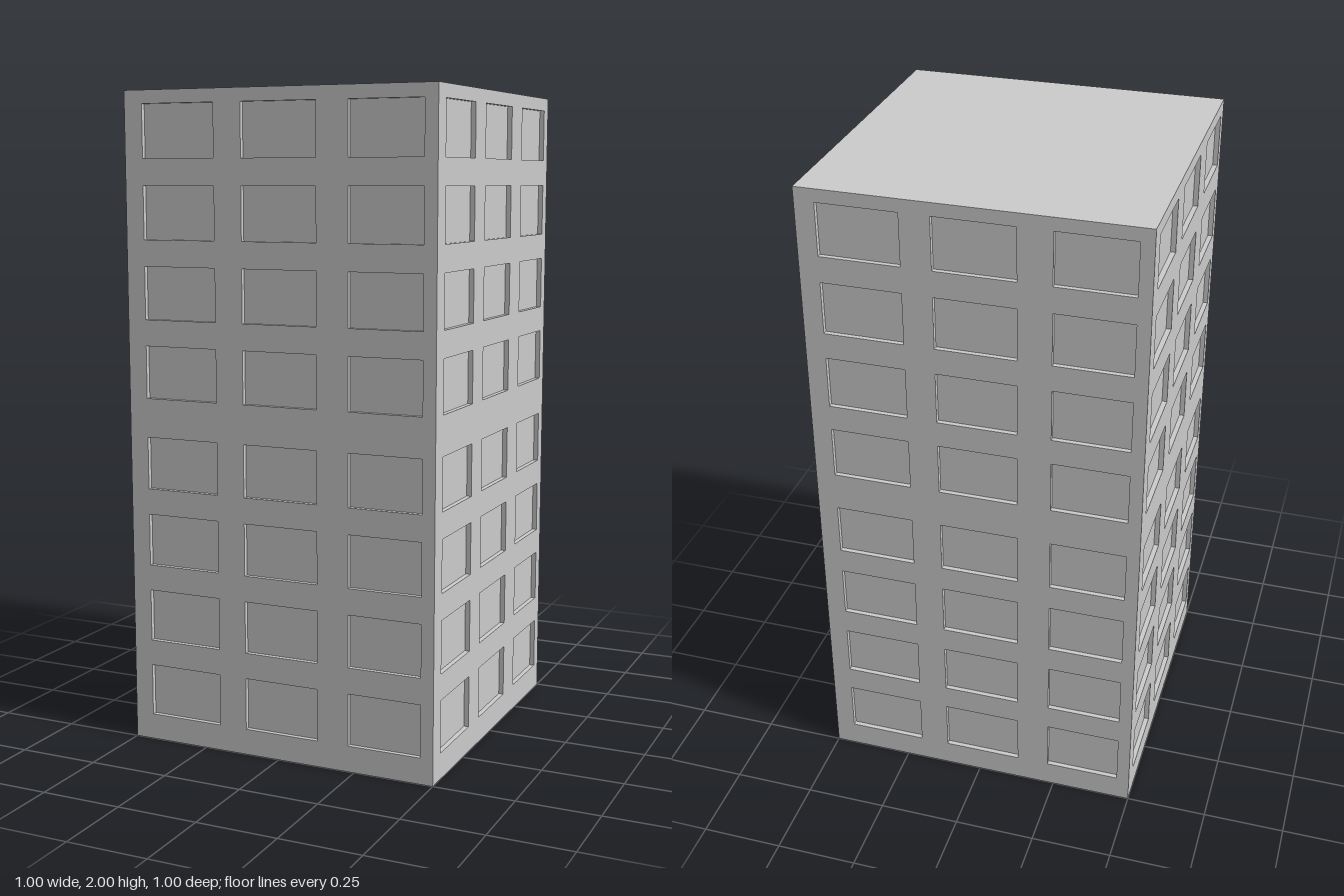
import * as THREE from 'three';

const HALF = 0.5, HEIGHT = 2, DEPTH = 0.015, WIN_H = 0.16;
const columns = [[-0.44, -0.2], [-0.11, 0.13], [0.23, 0.46]];
const sills = [0.08, 0.32, 0.56, 0.8, 1.08, 1.32, 1.56, 1.8];

function rectangle(PathType, x0, y0, x1, y1) {
  return new PathType([[x0, y0], [x1, y0], [x1, y1], [x0, y1]].map(p => new THREE.Vector2(...p)));
}

// Shallow tray: a box without its front (+z) face
function recessGeometry(width) {
  const g = new THREE.BoxGeometry(width, WIN_H, DEPTH);
  const index = Array.from(g.index.array);
  index.splice(24, 6);
  g.setIndex(index);
  g.clearGroups();
  return g;
}

export function createModel() {
  const tower = new THREE.Group();
  tower.name = 'towerBlock';
  const material = new THREE.MeshStandardMaterial({ color: 0xcccccc, side: THREE.DoubleSide });

  // Thin wall pierced by the window openings
  const wallShape = rectangle(THREE.Shape, -HALF, 0, HALF, HEIGHT);
  for (const [x0, x1] of columns)
    for (const y of sills) wallShape.holes.push(rectangle(THREE.Path, x0, y, x1, y + WIN_H));
  const wallGeometry = new THREE.ShapeGeometry(wallShape);
  const recesses = columns.map(([x0, x1]) => recessGeometry(x1 - x0));

  // The same facade on all four sides
  ['front', 'left', 'back', 'right'].forEach((side, i) => {
    const facade = new THREE.Group();
    facade.name = side + 'Facade';
    const wall = new THREE.Mesh(wallGeometry, material);
    wall.name = side + 'Wall';
    wall.position.z = HALF;
    facade.add(wall);
    columns.forEach(([x0, x1], c) => {
      for (const y of sills) {
        const win = new THREE.Mesh(recesses[c], material);
        win.name = 'recessedWindow';
        win.position.set((x0 + x1) / 2, y + WIN_H / 2, HALF - DEPTH / 2);
        facade.add(win);
      }
    });
    facade.rotation.y = i * Math.PI / 2;
    tower.add(facade);
  });

  // Flat roof; the underside stays open
  const roof = new THREE.Mesh(new THREE.PlaneGeometry(2 * HALF, 2 * HALF), material);
  roof.name = 'roof';
  roof.rotation.x = -Math.PI / 2;
  roof.position.y = HEIGHT;
  tower.add(roof);
  return tower;
}
